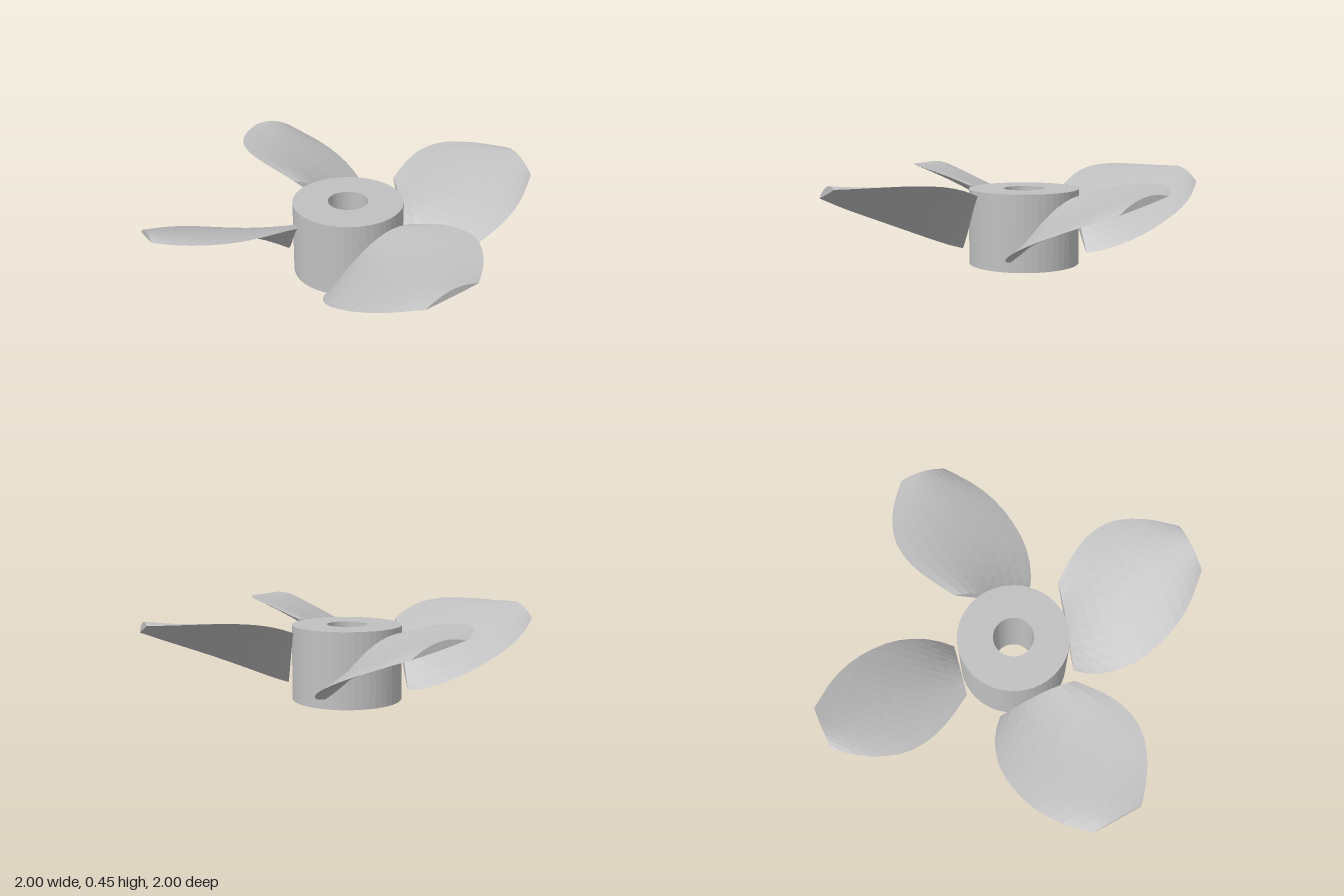
import * as THREE from 'three';

const ROWS = 12; // steps from root to tip
const COLS = 10; // steps across the chord

// Plan outline of one blade as [x, z], from root to tip
const lowEdge = [[0.285, 0.14], [0.38, 0.19], [0.5, 0.21], [0.6, 0.2], [0.7, 0.165], [0.8, 0.11], [0.9, 0.02], [1, -0.12]];
const highEdge = [[0.285, -0.23], [0.4, -0.35], [0.5, -0.42], [0.62, -0.455], [0.75, -0.44], [0.85, -0.405], [0.945, -0.355]];

const edgeCurve = (points) => new THREE.CatmullRomCurve3(points.map(([x, z]) => new THREE.Vector3(x, 0, z)));

// Helical underside with a constant pitch, raked up towards the tip
function undersideHeight(x, z) {
  const degrees = THREE.MathUtils.radToDeg(Math.atan2(z, x));
  return 0.06 + 0.0046 * (26 - degrees) + 0.23 * (Math.hypot(x, z) - 0.317);
}

// Closed blade lofted from flat-bottomed, round-topped sections
function bladeGeometry() {
  const low = edgeCurve(lowEdge), high = edgeCurve(highEdge);
  const ring = COLS * 2;
  const positions = [], index = [];
  for (let i = 0; i <= ROWS; i++) {
    const t = i / ROWS;
    const a = low.getPointAt(t), b = high.getPointAt(t);
    const thickness = 0.06 - 0.025 * t;
    for (let k = 0; k < ring; k++) {
      const top = k <= COLS;
      const s = (top ? k : ring - k) / COLS;
      const p = a.clone().lerp(b, s);
      const bulge = top ? thickness * 4 * s * (1 - s) : 0;
      positions.push(p.x, undersideHeight(p.x, p.z) + bulge, p.z);
    }
  }
  for (let i = 0; i < ROWS; i++) {
    for (let k = 0; k < ring; k++) {
      const p = i * ring + k, q = i * ring + (k + 1) % ring;
      index.push(p, p + ring, q, q, p + ring, q + ring);
    }
  }
  // Root and tip caps
  const last = ROWS * ring;
  for (let k = 1; k < ring - 1; k++) {
    index.push(0, k, k + 1, last, last + k + 1, last + k);
  }
  const geometry = new THREE.BufferGeometry();
  geometry.setAttribute('position', new THREE.Float32BufferAttribute(positions, 3));
  geometry.setIndex(index);
  const faceted = geometry.toNonIndexed();
  faceted.computeVertexNormals();
  return faceted;
}

// Cylinder with a through bore
function hubGeometry() {
  const shape = new THREE.Shape().absarc(0, 0, 0.275, 0, Math.PI * 2, false);
  shape.holes.push(new THREE.Path().absarc(0, 0, 0.1, 0, Math.PI * 2, true));
  const geometry = new THREE.ExtrudeGeometry(shape, { depth: 0.375, bevelEnabled: false, curveSegments: 24 });
  return geometry.rotateX(-Math.PI / 2);
}

export function createModel() {
  const model = new THREE.Group();
  model.name = 'propeller';
  const metal = new THREE.MeshStandardMaterial({ color: 0xc0c0c0, flatShading: true });
  metal.name = 'light grey metal';

  const hub = new THREE.Mesh(hubGeometry(), metal);
  hub.name = 'hub';
  model.add(hub);

  // Four equal blades around the hub
  const geometry = bladeGeometry();
  for (let i = 0; i < 4; i++) {
    const blade = new THREE.Mesh(geometry, metal);
    blade.name = `blade${i + 1}`;
    blade.rotation.y = i * Math.PI / 2;
    model.add(blade);
  }
  return model;
}
